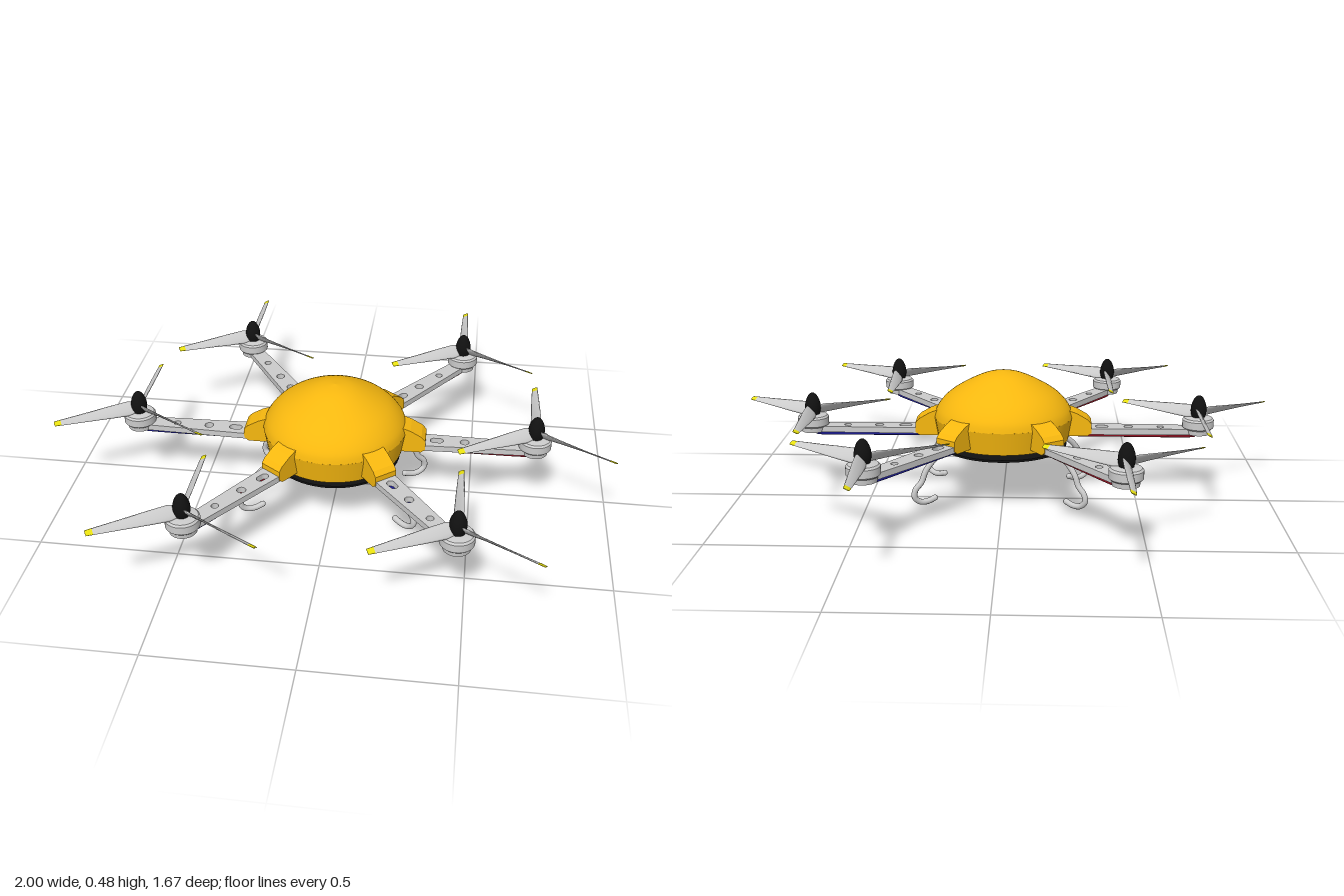
import * as THREE from 'three';

const mat = (color) => new THREE.MeshStandardMaterial({ color });
const grey = mat(0xcccccc), yellow = mat(0xf7b80f), black = mat(0x111111);
const red = mat(0x8c1020), blue = mat(0x1c1c90), tipYellow = mat(0xe8e010);
yellow.side = THREE.DoubleSide;

const CENTRE_Z = 0.07;
const MOTORS = [[-0.42, -0.53], [0.44, -0.52], [-0.73, 0.07], [0.72, 0.06], [-0.42, 0.665], [0.465, 0.64]];
const LEGS = [[-0.33, 0.17], [0.31, 0.2], [0.32, -0.17], [-0.3, -0.2]];

function add(parent, name, geometry, material, x = 0, y = 0, z = 0) {
  const mesh = new THREE.Mesh(geometry, material);
  mesh.name = name;
  mesh.position.set(x, y, z);
  parent.add(mesh);
  return mesh;
}

function group(parent, name) {
  const g = new THREE.Group();
  g.name = name;
  parent.add(g);
  return g;
}

const vec2 = (list) => list.map(([a, b]) => new THREE.Vector2(a, b));
const cylinder = (rTop, rBottom, y0, y1, n = 40) =>
  new THREE.CylinderGeometry(rTop, rBottom, y1 - y0, n).translate(0, (y0 + y1) / 2, 0);
const smoothLathe = (list, n = 48) =>
  new THREE.LatheGeometry(new THREE.SplineCurve(vec2(list)).getPoints(24), n);

// Twisted blade along +x; stations are [radius, chord, pitch, thickness]
function bladeGeometry(stations) {
  const n = 10, pos = [], index = [];
  stations.forEach(([r, chord, pitch, thick], i) => {
    const s = Math.sin(pitch), c = Math.cos(pitch);
    for (let j = 0; j < n; j++) {
      const a = (j / n) * Math.PI * 2;
      const u = Math.cos(a) * chord / 2, v = Math.sin(a) * thick / 2;
      pos.push(r, -s * u + c * v, -c * u - s * v);
      if (i === 0) continue;
      const k = (i - 1) * n, j1 = (j + 1) % n;
      index.push(k + j, k + j1, k + n + j, k + j1, k + n + j1, k + n + j);
    }
  });
  const g = new THREE.BufferGeometry();
  g.setAttribute('position', new THREE.Float32BufferAttribute(pos, 3));
  g.setIndex(index);
  g.computeVertexNormals();
  return g;
}

const blade = bladeGeometry([
  [0.01, 0.04, 0.95, 0.012], [0.04, 0.054, 0.92, 0.01], [0.1, 0.048, 0.82, 0.007],
  [0.2, 0.035, 0.65, 0.005], [0.29, 0.024, 0.5, 0.004]]);
const bladeTip = bladeGeometry([[0.289, 0.024, 0.5, 0.005], [0.312, 0.021, 0.46, 0.004], [0.313, 0.001, 0.46, 0.001]]);

// Tapered arm with lightening holes, pointing along +x
function armGeometry(length) {
  const s = new THREE.Shape();
  s.moveTo(0.2, -0.043);
  s.lineTo(length, -0.028);
  s.absarc(length, 0, 0.028, -Math.PI / 2, Math.PI / 2);
  s.lineTo(0.2, 0.043);
  s.closePath();
  for (const [d, r, half] of [[0.37, 0.014, 0.01], [0.47, 0.016, 0], [0.59, 0.013, 0]]) {
    const h = new THREE.Path();
    h.absarc(d + half, 0, r, -Math.PI / 2, Math.PI / 2);
    h.absarc(d - half, 0, r, Math.PI / 2, Math.PI * 1.5);
    s.holes.push(h);
  }
  return new THREE.ExtrudeGeometry(s, { depth: 0.022, bevelEnabled: false, curveSegments: 12 })
    .rotateX(Math.PI / 2).translate(0, 0.265, 0);
}

// Wedge-shaped socket where an arm enters the body
function socketGeometry() {
  const s = new THREE.Shape(vec2([[0.18, 0.238], [0.315, 0.238], [0.33, 0.25], [0.33, 0.285],
    [0.315, 0.302], [0.275, 0.325], [0.24, 0.338], [0.18, 0.338]]));
  return new THREE.ExtrudeGeometry(s, { depth: 0.086, bevelEnabled: false }).translate(0, 0, -0.043);
}

function buildBody(parent) {
  const body = group(parent, 'body');
  add(body, 'dome', smoothLathe([[0.26, 0.308], [0.25, 0.338], [0.224, 0.373], [0.186, 0.405],
    [0.12, 0.443], [0.06, 0.468], [0, 0.478]], 64), yellow);
  add(body, 'lowerShell', cylinder(0.26, 0.245, 0.223, 0.309, 64), yellow);
  add(body, 'neck', cylinder(0.16, 0.16, 0.2, 0.224), black);
  add(body, 'bottomPlate', cylinder(0.238, 0.238, 0.194, 0.202, 64), black);
}

function buildArm(parent, length) {
  add(parent, 'armBeam', armGeometry(length), grey);
  add(parent, 'armSocket', socketGeometry(), yellow);
  // Three cables under the beam, turning up into the motor
  [[red, 'redCable', 0.014], [black, 'blackCable', 0], [blue, 'blueCable', -0.014]].forEach(([m, name, z]) => {
    const path = new THREE.CatmullRomCurve3([[0.14, 0.235], [0.4, 0.235], [length - 0.05, 0.235],
      [length - 0.015, 0.237], [length, 0.25]].map(([x, y]) => new THREE.Vector3(x, y, z)));
    add(parent, name, new THREE.TubeGeometry(path, 30, 0.0062, 8), m);
  });
}

function buildRotor(parent, x, z) {
  const rotor = group(parent, 'rotor');
  rotor.position.set(x, 0, z);
  add(rotor, 'motorBase', cylinder(0.048, 0.046, 0.243, 0.266), grey);
  add(rotor, 'motorBell', new THREE.LatheGeometry(vec2([[0, 0.262], [0.052, 0.262], [0.052, 0.262], [0.058, 0.268],
    [0.058, 0.268], [0.058, 0.296], [0.058, 0.296], [0.052, 0.303], [0.052, 0.303], [0.03, 0.307], [0, 0.307]]), 40), grey);
  add(rotor, 'spinner', smoothLathe([[0.024, 0.304], [0.029, 0.328], [0.027, 0.352], [0.018, 0.375],
    [0.008, 0.386], [0, 0.388]], 28), black);
  for (let k = 0; k < 3; k++) {
    const holder = group(rotor, 'propellerBlade');
    holder.position.y = 0.324;
    holder.rotation.y = Math.PI / 2 + k * Math.PI * 2 / 3;
    add(holder, 'blade', blade, grey);
    add(holder, 'bladeTip', bladeTip, tipYellow);
  }
}

// Curved landing leg with a hooked foot
function buildLeg(parent, x, z) {
  const leg = group(parent, 'landingLeg');
  leg.rotation.y = -Math.atan2(z, x);
  const path = new THREE.CatmullRomCurve3([[0.19, 0.198], [0.235, 0.195], [0.285, 0.17], [0.32, 0.13], [0.337, 0.09],
    [0.362, 0.062], [0.366, 0.034], [0.345, 0.014], [0.315, 0.011], [0.285, 0.02]]
    .map(([r, y]) => new THREE.Vector3(r, y, 0)));
  add(leg, 'legTube', new THREE.TubeGeometry(path, 48, 0.011, 10), grey);
  add(leg, 'footEnd', new THREE.SphereGeometry(0.011, 12, 8), grey, 0.285, 0.02, 0);
}

export function createModel() {
  const model = new THREE.Group();
  model.name = 'hexacopter';
  const frame = group(model, 'frame');
  frame.position.z = CENTRE_Z;
  buildBody(frame);
  for (const [x, worldZ] of MOTORS) {
    const z = worldZ - CENTRE_Z;
    const arm = group(frame, 'arm');
    arm.rotation.y = -Math.atan2(z, x);
    buildArm(arm, Math.hypot(x, z));
    buildRotor(frame, x, z);
  }
  for (const [x, z] of LEGS) buildLeg(frame, x, z);
  return model;
}
